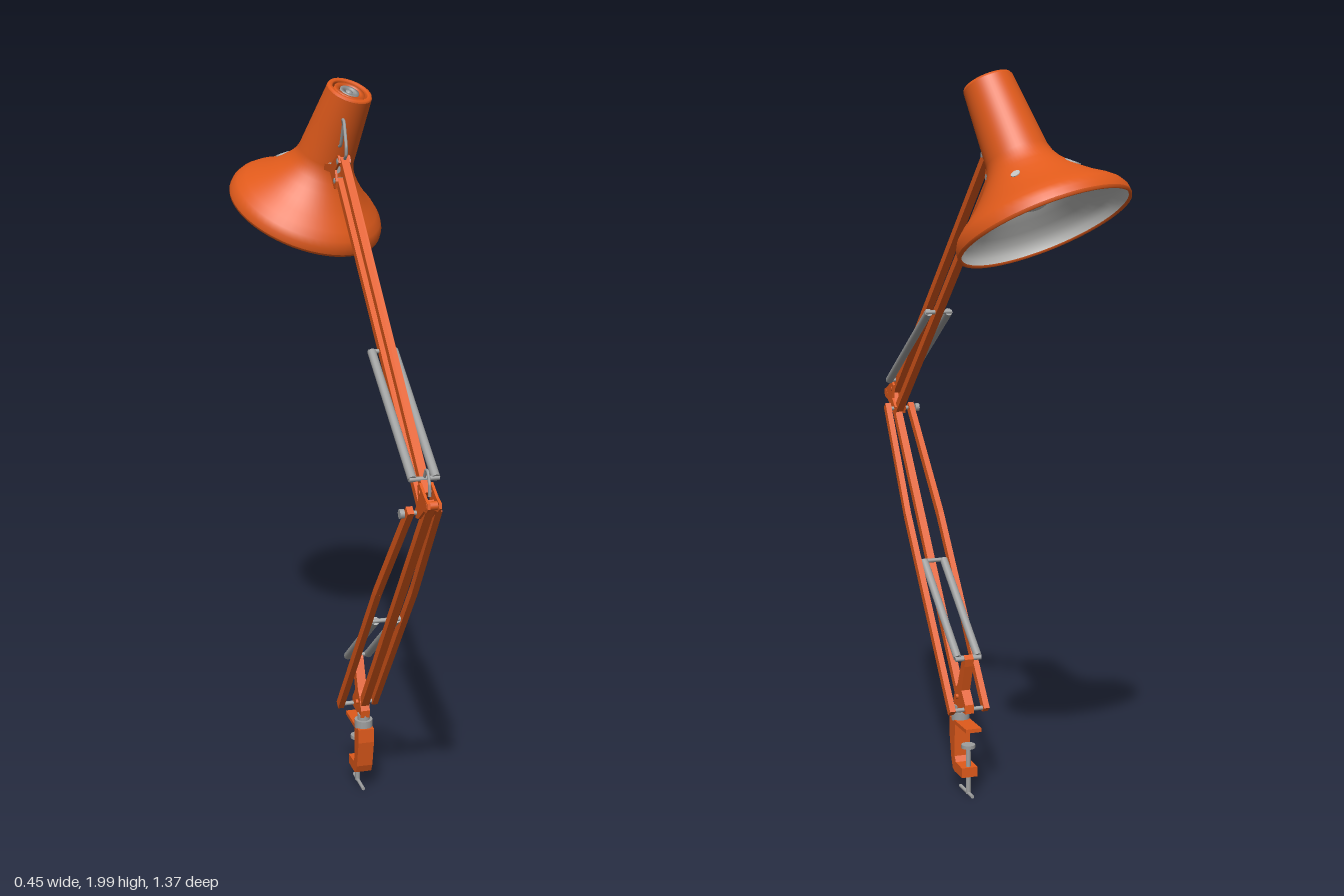
import * as THREE from 'three';

const mat = (name, color) => {
  const m = new THREE.MeshStandardMaterial({ color });
  m.name = name;
  return m;
};
const V = (x, y, z) => new THREE.Vector3(x, y, z);
const XC = 0.038; // plane of the arms

export function createModel() {
  const orange = mat('orange paint', 0xe05a1b);
  const steel = mat('steel', 0x9e9f9f);
  const white = mat('reflector grey', 0xc4c4c2);
  const lamp = new THREE.Group();
  lamp.name = 'deskLamp';

  const add = (name, geo, material, parent = lamp) => {
    const m = new THREE.Mesh(geo, material);
    m.name = name;
    parent.add(m);
    return m;
  };
  // Square bar between two points
  const bar = (name, a, b, w, h = w) => {
    const d = b.clone().sub(a);
    const m = add(name, new THREE.BoxGeometry(w, h, d.length()), orange);
    m.position.copy(a).add(b).multiplyScalar(0.5);
    m.quaternion.setFromUnitVectors(V(0, 0, 1), d.normalize());
  };
  // Round rod between two points
  const rod = (name, a, b, r, material = steel) => {
    const d = b.clone().sub(a);
    const m = add(name, new THREE.CylinderGeometry(r, r, d.length(), 14), material);
    m.position.copy(a).add(b).multiplyScalar(0.5);
    m.quaternion.setFromUnitVectors(V(0, 1, 0), d.normalize());
  };
  // Pin running sideways through the arm plane
  const pin = (name, y, z, half, r, material) =>
    rod(name, V(XC - half, y, z), V(XC + half, y, z), r, material);
  // Side plate from a [z, y] outline
  const plate = (name, pts, x, width) => {
    const shape = new THREE.Shape(pts.map(([z, y]) => new THREE.Vector2(z, y)));
    const geo = new THREE.ExtrudeGeometry(shape, { depth: width, bevelEnabled: false });
    geo.rotateY(-Math.PI / 2).translate(x + width / 2, 0, 0);
    add(name, geo, orange);
  };
  // Bent wire through [x, y, z] points, with tight corners
  const wire = (name, pts, r) => add(name, new THREE.TubeGeometry(
    new THREE.CatmullRomCurve3(pts.map((p) => V(...p)), false, 'catmullrom', 0.15), 40, r, 8), steel);

  // Table clamp
  plate('clampBody', [[0.075, 0.21], [0.075, 0.17], [0.058, 0.09], [0.046, 0.066], [0.03, 0.06],
    [-0.032, 0.06], [-0.032, 0.088], [0.02, 0.09], [0.03, 0.105], [0.028, 0.2], [0.028, 0.21]], XC, 0.046);
  plate('clampJaw', [[0.075, 0.2], [-0.065, 0.2], [-0.065, 0.211], [0.075, 0.211]], XC, 0.046);
  rod('clampScrew', V(XC, 0.008, -0.02), V(XC, 0.15, -0.02), 0.007);
  rod('clampPad', V(XC, 0.143, -0.02), V(XC, 0.153, -0.02), 0.02);
  rod('clampHandle', V(XC, 0.01, -0.055), V(XC, 0.01, 0.045), 0.005);
  rod('pivotCollar', V(XC, 0.208, 0.045), V(XC, 0.232, 0.045), 0.026);
  rod('pivotStem', V(XC, 0.225, 0.045), V(XC, 0.25, 0.045), 0.018);

  // Base bracket: a foot with a leaning spring post
  plate('baseBracket', [[0.062, 0.242], [0.066, 0.265], [0.05, 0.3], [0.032, 0.315], [-0.004, 0.398],
    [-0.018, 0.412], [-0.031, 0.402], [-0.026, 0.38], [0, 0.305], [-0.03, 0.27], [-0.032, 0.245]], XC, 0.026);
  pin('springPin', 0.402, -0.02, 0.038, 0.006);
  pin('innerBasePin', 0.28, 0.03, 0.02, 0.007, orange);
  pin('outerBasePin', 0.255, -0.02, 0.058, 0.006);

  // Lower arm: one central bar and a pair of outer bars that close in at the elbow
  bar('lowerInnerBar', V(XC, 0.27, 0.04), V(XC, 1.07, 0.648), 0.022);
  for (const s of [-1, 1]) {
    const foot = V(XC + s * 0.0505, 0.25, -0.026);
    const bend = V(XC + s * 0.0505, 0.74, 0.36);
    const top = V(XC + s * 0.036, 1.04, 0.597);
    bar('lowerOuterBar', foot, bend, 0.017, 0.023);
    bar('lowerOuterBar', bend, top, 0.017, 0.023);
  }
  pin('outerElbowPin', 1.03, 0.59, 0.044, 0.006);
  rod('elbowKnob', V(-0.024, 1.03, 0.59), V(-0.012, 1.03, 0.59), 0.012);

  // Elbow bracket
  for (const s of [-1, 1]) {
    plate('elbowBracket', [[0.683, 1.066], [0.68, 1.08], [0.655, 1.088], [0.61, 1.112], [0.595, 1.1],
      [0.605, 1.06], [0.578, 1.035], [0.585, 1.015], [0.605, 1.018], [0.65, 1.052], [0.672, 1.055]],
    XC + s * 0.0145, 0.007);
  }
  pin('elbowPin', 1.07, 0.664, 0.019, 0.011, orange);
  pin('upperArmPin', 1.088, 0.612, 0.02, 0.007, orange);
  wire('elbowWire', [[XC, 1.085, 0.64], [XC, 1.115, 0.638], [XC, 1.143, 0.622], [XC, 1.143, 0.607],
    [XC, 1.11, 0.588]], 0.004);

  // Upper arm: two parallel bars in one plane
  bar('upperTopBar', V(XC, 1.083, 0.618), V(XC, 1.797, -0.175), 0.022);
  bar('upperBottomBar', V(XC, 1.027, 0.595), V(XC, 1.735, -0.208), 0.022);

  // Paired tension springs on cross pins
  const springs = (name, lower, upper) => {
    for (const s of [-1, 1]) {
      rod(name, V(XC + s * 0.03, lower[1], lower[0]), V(XC + s * 0.03, upper[1], upper[0]), 0.0115);
    }
    pin(name + 'Pin', upper[1], upper[0], 0.039, 0.006);
    pin(name + 'Pin', lower[1], lower[0], 0.039, 0.006);
  };
  springs('lowerSpring', [-0.016, 0.405], [0.27, 0.622]);
  springs('upperSpring', [0.593, 1.117], [0.222, 1.352]);

  // Head bracket with its wire stay
  for (const s of [-1, 1]) {
    plate('headBracket', [[-0.162, 1.79], [-0.17, 1.808], [-0.185, 1.808], [-0.25, 1.775], [-0.33, 1.768],
      [-0.33, 1.75], [-0.26, 1.752], [-0.215, 1.712], [-0.198, 1.715], [-0.193, 1.735], [-0.205, 1.765]],
    XC + s * 0.014, 0.006);
  }
  pin('headTopPin', 1.792, -0.175, 0.019, 0.008);
  pin('headBottomPin', 1.735, -0.208, 0.019, 0.008);
  rod('headJoint', V(XC, 1.76, -0.25), V(XC, 1.759, -0.35), 0.012);
  wire('headWire', [[XC, 1.795, -0.17], [XC, 1.812, -0.148], [XC, 1.838, -0.148], [0.05, 1.893, -0.215],
    [0.054, 1.897, -0.245], [0.06, 1.88, -0.26], [0.06, 1.82, -0.292], [0.055, 1.815, -0.33]], 0.0045);

  // Shade, tilted about the centre of its rim
  const head = new THREE.Group();
  head.name = 'lampHead';
  head.position.set(0, 1.61, -0.476);
  head.quaternion.setFromUnitVectors(V(0, 1, 0), V(0.094, 0.36, 0.16).normalize());
  lamp.add(head);
  const lathe = (name, pts, material) => add(name,
    new THREE.LatheGeometry(pts.map(([r, y]) => new THREE.Vector2(r, y)), 56), material, head);

  const flare = [[0.23, 0.008], [0.228, 0.025], [0.218, 0.043], [0.198, 0.062], [0.172, 0.081], [0.146, 0.104],
    [0.12, 0.131], [0.1, 0.156], [0.088, 0.178], [0.082, 0.2], [0.074, 0.3], [0.066, 0.4]];
  lathe('shade', flare, orange);
  lathe('shadeRim', [[0.221, 0.006], [0.224, 0], [0.228, 0.001], [0.23, 0.008]], orange);
  lathe('reflector', flare.slice(0, 11).map(([r, y]) => [r - 0.009, Math.max(y - 0.003, 0.006)]).reverse(), white);
  lathe('reflectorTop', [[0.066, 0.296], [0, 0.296]], white);

  // Vented cap
  lathe('capRim', [[0.066, 0.4], [0.063, 0.406], [0.053, 0.406], [0.05, 0.4], [0.05, 0.385]], orange);
  lathe('capRecess', [[0.051, 0.388], [0.027, 0.388]], orange);
  lathe('capRing', [[0.045, 0.388], [0.045, 0.402], [0.032, 0.402], [0.032, 0.388]], orange);
  lathe('capCollar', [[0.028, 0.388], [0.028, 0.402], [0.018, 0.402], [0.018, 0.388]], steel);
  lathe('capCentre', [[0.019, 0.389], [0.01, 0.389], [0.01, 0.4], [0, 0.402]], steel);

  // Bulb and socket
  add('bulb', new THREE.SphereGeometry(0.07, 32, 20), white, head).position.y = 0.125;
  lathe('bulbSocket', [[0.03, 0.18], [0.034, 0.2], [0.034, 0.295]], steel);

  // Flush round plates on the flare, the larger one also showing inside
  const inverse = head.quaternion.clone().invert();
  const stud = (name, [x, y, z], r, height, lift, material) => {
    const p = V(x, y, z).applyQuaternion(inverse);
    const a = Math.atan2(p.x, p.z);
    const n = V(Math.sin(a), 1, Math.cos(a)).normalize();
    const dot = add(name, new THREE.CylinderGeometry(r, r, 0.004, 18), material, head);
    const radius = 0.2505 - height;
    dot.position.set(Math.sin(a) * radius, height, Math.cos(a) * radius).addScaledVector(n, lift);
    dot.quaternion.setFromUnitVectors(V(0, 1, 0), n);
  };
  stud('shadeStud', [-0.06, 0.16, -0.034], 0.021, 0.121, 0, white);
  stud('shadeStud', [0.1, 0.14, -0.045], 0.012, 0.124, 0, white);
  stud('innerStud', [-0.06, 0.16, -0.034], 0.014, 0.121, -0.009, orange);
  return lamp;
}
